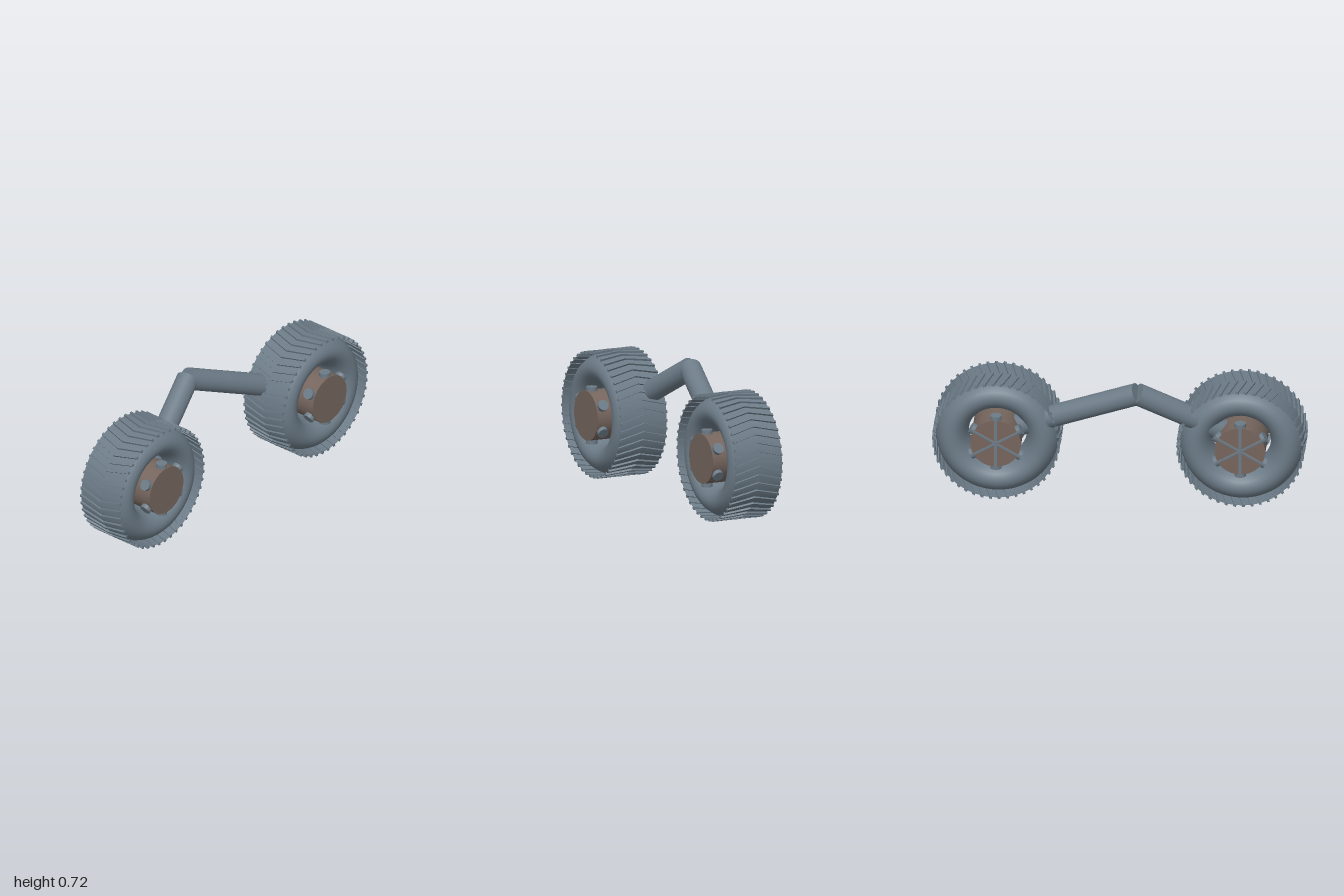
import * as THREE from 'three';
import { mergeGeometries } from 'three/addons/utils/BufferGeometryUtils.js';

const WHEEL_X = 0.027, WHEEL_Y = 0.344, WHEEL_Z = 0.656;
const WIDTH = 0.281, OUTER = 0.344, BAND = 0.333, TREADS = 46;

export function createModel() {
  const grey = new THREE.MeshStandardMaterial({ color: 0x6c7b87 });
  grey.name = 'slate grey';
  grey.side = THREE.DoubleSide;
  const brown = new THREE.MeshStandardMaterial({ color: 0x75655d });
  brown.name = 'hub brown';

  const model = new THREE.Group();
  model.name = 'wheelBogie';

  const add = (parent, name, geometry, material) => {
    const mesh = new THREE.Mesh(geometry, material);
    mesh.name = name;
    parent.add(mesh);
    return mesh;
  };

  // one chevron tread bar, bent forward at its middle
  const treadBar = (angle) => {
    const g = new THREE.BoxGeometry(WIDTH, 0.016, 0.014, 2, 1, 1);
    const p = g.attributes.position;
    for (let i = 0; i < p.count; i++) {
      const bend = 1 - Math.abs(p.getX(i)) / (WIDTH / 2);
      p.setZ(i, p.getZ(i) + 0.036 * (bend - 0.5));
    }
    g.translate(0, OUTER - 0.0087, 0);
    g.rotateX(angle);
    const flat = g.toNonIndexed();
    flat.computeVertexNormals();
    return flat;
  };

  // rounded tyre body, stretched across its width
  const tyre = new THREE.TorusGeometry(0.244, 0.089, 28, 72)
    .rotateY(Math.PI / 2)
    .scale(0.137 / 0.089, 1, 1);
  const band = new THREE.CylinderGeometry(BAND, BAND, WIDTH, 72, 1, true).rotateZ(Math.PI / 2);
  const bars = [];
  for (let i = 0; i < TREADS; i++) bars.push(treadBar((i / TREADS) * Math.PI * 2));
  const treads = mergeGeometries(bars);

  const hub = new THREE.CylinderGeometry(0.136, 0.136, 0.34, 48).rotateZ(Math.PI / 2);
  hub.translate(0.003, 0, 0);

  // radial spokes on both faces of the hub, three rods through the axis per face
  const rods = [];
  for (const x of [-0.138, 0.138]) {
    for (let i = 0; i < 3; i++) {
      const rod = new THREE.CylinderGeometry(0.03, 0.03, 0.312, 24);
      rod.rotateX((i * Math.PI) / 3);
      rod.translate(x, 0, 0);
      rods.push(rod);
    }
  }
  const spokes = mergeGeometries(rods);

  for (const side of [1, -1]) {
    const wheel = new THREE.Group();
    wheel.name = side > 0 ? 'frontWheel' : 'rearWheel';
    wheel.position.set(WHEEL_X, WHEEL_Y, side * WHEEL_Z);
    add(wheel, 'tyre', tyre, grey);
    add(wheel, 'treadBand', band, grey);
    add(wheel, 'treads', treads, grey);
    add(wheel, 'hub', hub, brown);
    add(wheel, 'spokes', spokes, grey);
    model.add(wheel);
  }

  // suspension arms running from the elbow to each wheel centre
  const elbow = new THREE.Vector3(-0.14, 0.668, 0.105);
  for (const side of [1, -1]) {
    const end = new THREE.Vector3(WHEEL_X, WHEEL_Y, side * WHEEL_Z);
    const dir = end.clone().sub(elbow);
    const arm = add(model, side > 0 ? 'frontArm' : 'rearArm',
      new THREE.CylinderGeometry(0.06, 0.06, dir.length(), 32), grey);
    arm.position.copy(elbow).add(end).multiplyScalar(0.5);
    arm.quaternion.setFromUnitVectors(new THREE.Vector3(0, 1, 0), dir.normalize());
  }
  return model;
}
